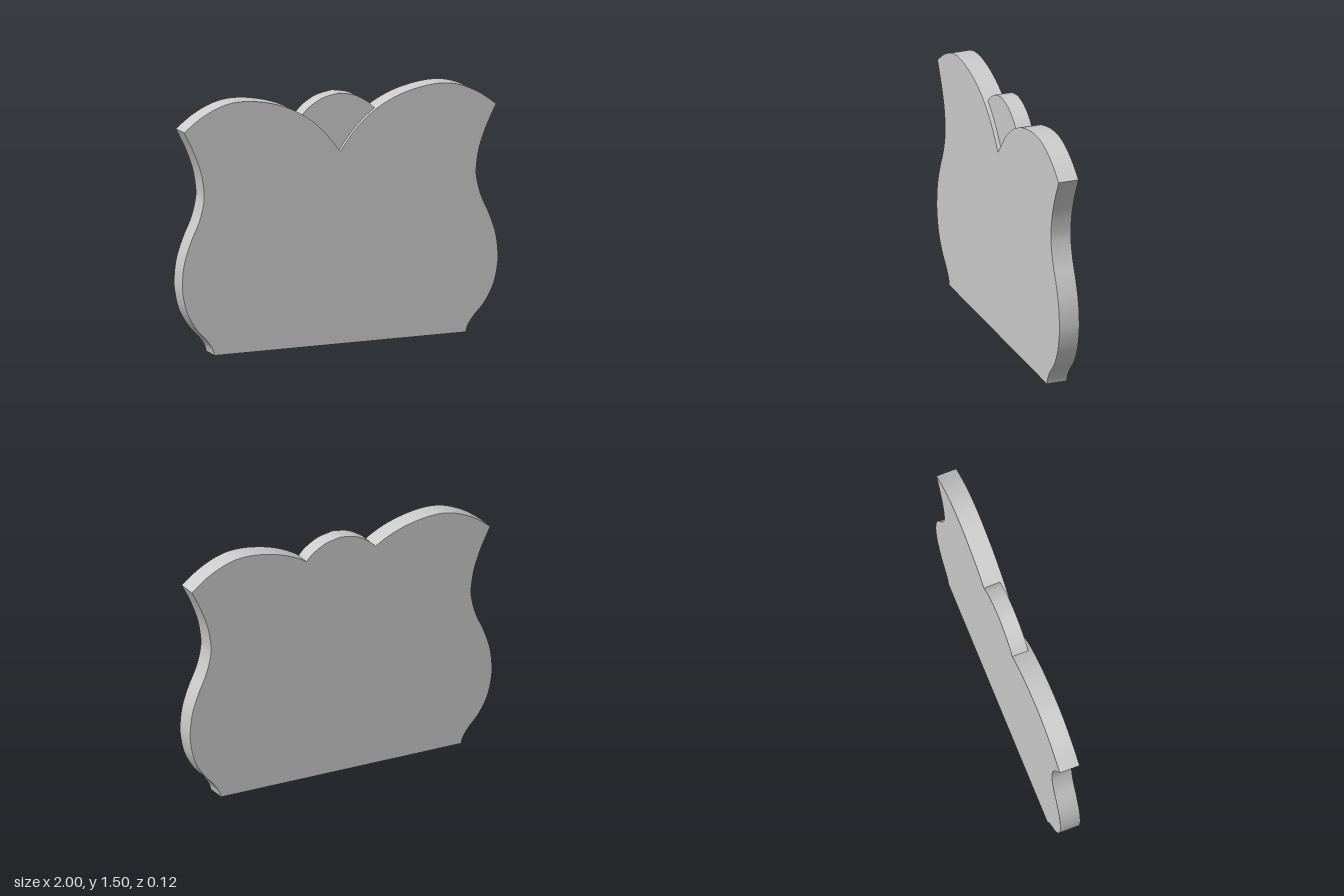
import * as THREE from 'three';
import { toCreasedNormals } from 'three/addons/utils/BufferGeometryUtils.js';

const BACK = -0.062, STEP = 0.038, FRONT = 0.062;

// smooth curve through a few [x, y] points
const spline = (pts, n) =>
  new THREE.SplineCurve(pts.map(([x, y]) => new THREE.Vector2(x, y))).getPoints(n);

// closed symmetric plate from its +x half outline, bottom to top
function plate(name, half, z0, z1, material) {
  const mirrored = half.filter(p => p.x > 0.001).reverse().map(p => new THREE.Vector2(-p.x, p.y));
  const geo = new THREE.ExtrudeGeometry(new THREE.Shape([...half, ...mirrored]), {
    depth: z1 - z0, bevelEnabled: false, steps: 1,
  });
  geo.translate(0, 0, z0);
  const mesh = new THREE.Mesh(toCreasedNormals(geo, 0.45), material);
  mesh.name = name;
  return mesh;
}

export function createModel() {
  const material = new THREE.MeshStandardMaterial({ color: 0xcccccc });
  const group = new THREE.Group();
  group.name = 'scallopedPanel';

  // wavy side, from the foot to the upper corner
  const side = spline([
    [0.795, 0], [0.81, 0.045], [0.85, 0.1], [0.91, 0.165], [0.965, 0.26], [0.992, 0.36],
    [0.999, 0.45], [0.985, 0.57], [0.945, 0.69], [0.895, 0.8], [0.867, 0.9],
    [0.862, 0.98], [0.882, 1.1], [0.928, 1.225], [0.988, 1.347],
  ], 70);

  // rounded shoulder, running down into the central notch
  const shoulder = spline([
    [0.988, 1.347], [0.88, 1.425], [0.76, 1.48], [0.65, 1.5], [0.52, 1.491],
    [0.37, 1.453], [0.23, 1.384], [0.11, 1.285], [0, 1.15],
  ], 64).slice(1);

  // central lobe, rising between the shoulders
  const lobe = spline([[0.228, 1.383], [0.185, 1.425], [0.1, 1.472], [0, 1.492]], 20);

  group.add(
    plate('backPanel', [...side, ...shoulder.filter(p => p.x > 0.235), ...lobe], BACK, STEP, material),
    plate('frontPanel', [...side, ...shoulder], STEP, FRONT, material),
  );
  return group;
}
